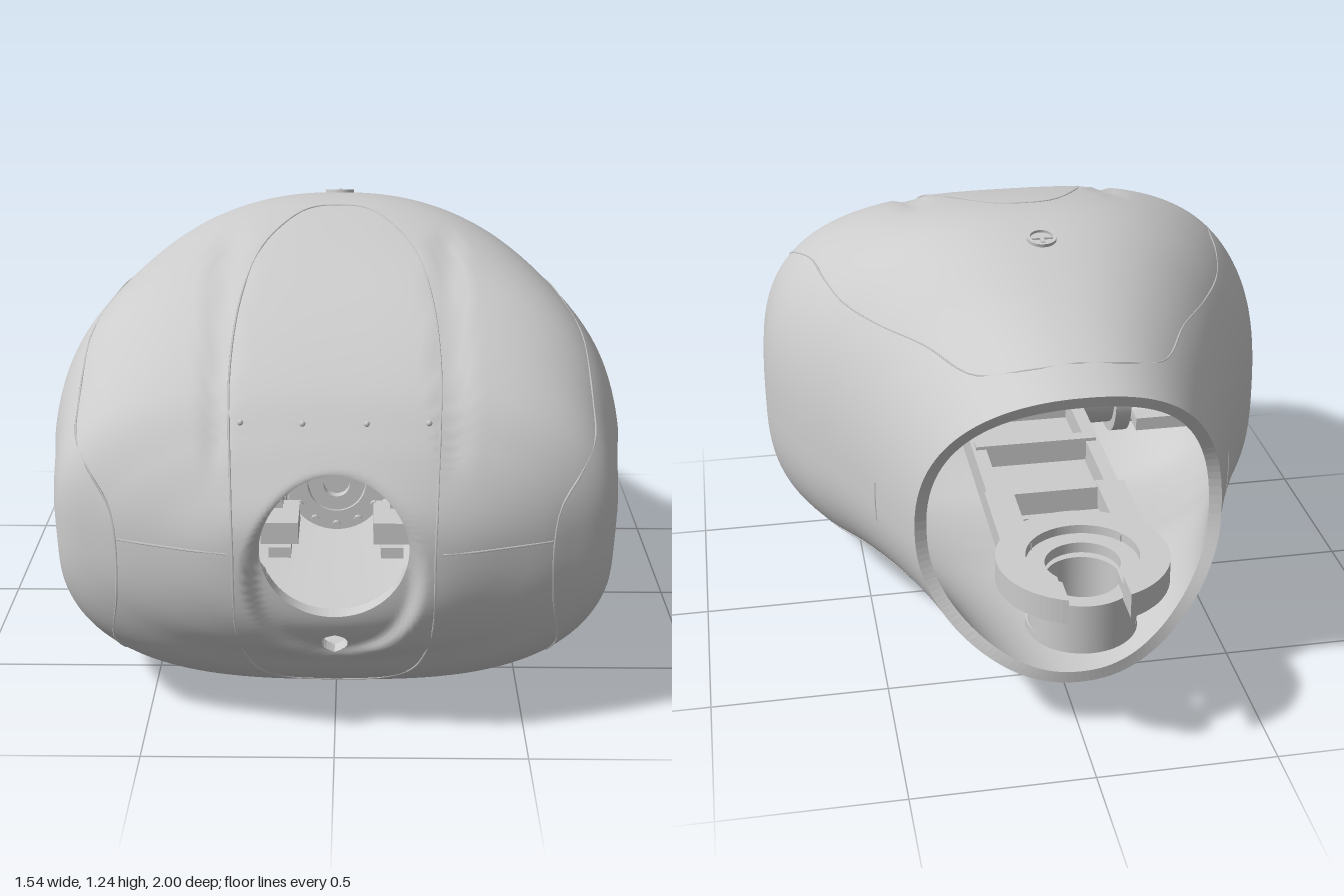
import * as THREE from 'three';

// Hull sections from nose to tail: z, half width, top, bottom, superellipse power
const ROWS = [
  [1, 0, 0.55, 0.55, 2], [0.998, 0.17, 0.63, 0.46, 2.1], [0.984, 0.3, 0.69, 0.36, 2.2],
  [0.94, 0.445, 0.765, 0.285, 2.3], [0.885, 0.585, 0.845, 0.23, 2.5], [0.8, 0.712, 0.945, 0.135, 2.7],
  [0.65, 0.748, 1.055, 0.045, 2.9], [0.475, 0.768, 1.14, 0.003, 3], [0.25, 0.765, 1.205, 0.035, 2.65],
  [0, 0.69, 1.244, 0.1, 2.5], [-0.2, 0.595, 1.22, 0.15, 2.4], [-0.4, 0.505, 1.155, 0.17, 2.3],
  [-0.6, 0.43, 1.1, 0.172, 2.2], [-0.8, 0.37, 1.035, 0.163, 2.2], [-0.92, 0.345, 0.99, 0.155, 2.2],
];
const LAST = ROWS.length - 1, MID = 0.55;

const smooth = THREE.MathUtils.smoothstep;
const spow = (v, p) => Math.sign(v) * Math.abs(v) ** p;

function section(u) {
  const i = Math.min(Math.floor(u), LAST - 1), t = u - i;
  const row = k => ROWS[THREE.MathUtils.clamp(k, 0, LAST)];
  return ROWS[0].map((_, c) => {
    const [a, b, d, e] = [row(i - 1)[c], row(i)[c], row(i + 1)[c], row(i + 2)[c]];
    const m0 = (d - a) / 2, m1 = (e - b) / 2;
    return b + m0 * t + (3 * (d - b) - 2 * m0 - m1) * t * t + (2 * (b - d) + m0 + m1) * t ** 3;
  });
}

// First section, going back from the nose, that passes a test
function findSection(test, hi) {
  let lo = 0;
  for (let k = 0; k < 40; k++) {
    const m = (lo + hi) / 2;
    if (test(section(m))) hi = m; else lo = m;
  }
  return section(hi);
}

function hullPoint(u, a) {
  let [z, w, top, bot, n] = section(u);
  const s = Math.sin(a);
  const x = w * spow(Math.cos(a), 2 / n);
  let y = MID + (s > 0 ? top - MID : MID - bot) * spow(s, 2 / n);
  // recessed oval around the front port
  if (z > 0.5) z -= 0.03 * (1 - smooth(Math.hypot(x / 0.22, (y - 0.5) / 0.26), 0.86, 1.04));
  // shallow channels beside the centre panel
  const ax = Math.abs(x);
  if (s > 0) y -= 0.014 * smooth(ax, 0.265, 0.285) * (1 - smooth(ax, 0.3, 0.34)) * smooth(z, 0.1, 0.35) * (1 - smooth(z, 0.88, 0.95));
  return [x, y, z];
}

// Positive where the shell is solid: concave tail cut, front port, drain hole, side ports
function solid([x, y, z]) {
  let f = z + 0.62 + (y < 0.62 ? 0.81 : 1.13) * (y - 0.62) ** 2;
  if (z > 0.5) f = Math.min(f, Math.hypot(x, y - 0.57) - 0.187, Math.hypot(x, y - 0.285) - 0.034);
  if (Math.abs(x) > 0.4) f = Math.min(f, 0.22 * (Math.hypot((z - 0.56) / 0.22, (y - 0.497) / 0.235) - 1));
  return f;
}

// Outer skin, inner skin and the rims of all openings
function shellGeometries(thick) {
  const NA = 144, NU = 112, pos = [], idx = [];
  for (let i = 0; i <= NU; i++) for (let j = 0; j < NA; j++) {
    pos.push(...hullPoint(0.3 + (LAST - 0.3) * i / NU, j / NA * Math.PI * 2));
    if (i === NU) continue;
    const a = i * NA + j, b = i * NA + (j + 1) % NA;
    idx.push(a, a + NA, b, b, a + NA, b + NA);
  }
  const grid = new THREE.BufferGeometry();
  grid.setAttribute('position', new THREE.Float32BufferAttribute(pos, 3));
  grid.setIndex(idx);
  grid.computeVertexNormals();
  const nor = grid.attributes.normal.array;
  const verts = [];
  for (let k = 0; k < pos.length; k += 3) {
    const p = pos.slice(k, k + 3);
    verts.push({ p, n: [nor[k], nor[k + 1], nor[k + 2]], f: solid(p) });
  }
  const mix = (a, b, t) => a.map((v, c) => v + (b[c] - v) * t);
  const inset = v => v.p.map((c, k) => c - v.n[k] * thick);
  const out = { p: [], n: [] }, inn = { p: [], n: [] }, rim = [];
  for (let k = 0; k < idx.length; k += 3) {
    const tri = [verts[idx[k]], verts[idx[k + 1]], verts[idx[k + 2]]], poly = [];
    let leave, enter;
    tri.forEach((a, e) => {
      const b = tri[(e + 1) % 3];
      if (a.f >= 0) poly.push(a);
      if ((a.f >= 0) !== (b.f >= 0)) {
        const t = a.f / (a.f - b.f), c = { p: mix(a.p, b.p, t), n: mix(a.n, b.n, t) };
        poly.push(c);
        if (a.f >= 0) leave = c; else enter = c;
      }
    });
    for (let q = 1; q + 1 < poly.length; q++) {
      for (const v of [poly[0], poly[q], poly[q + 1]]) { out.p.push(...v.p); out.n.push(...v.n); }
      for (const v of [poly[0], poly[q + 1], poly[q]]) { inn.p.push(...inset(v)); inn.n.push(...v.n.map(c => -c)); }
    }
    if (leave && enter) {
      const [a, b, c, d] = [leave.p, enter.p, inset(enter), inset(leave)];
      rim.push(...a, ...d, ...b, ...b, ...d, ...c);
    }
  }
  const make = (p, n) => {
    const g = new THREE.BufferGeometry();
    g.setAttribute('position', new THREE.Float32BufferAttribute(p, 3));
    if (n) g.setAttribute('normal', new THREE.Float32BufferAttribute(n, 3)); else g.computeVertexNormals();
    return g;
  };
  return { outerShell: make(out.p, out.n), innerShell: make(inn.p, inn.n), openingRims: make(rim) };
}

export function createModel() {
  const model = new THREE.Group();
  const grey = new THREE.MeshStandardMaterial({ color: 0xcccccc, side: THREE.DoubleSide });
  grey.name = 'light grey';
  const add = (name, geo, x = 0, y = 0, z = 0) => {
    const m = new THREE.Mesh(geo, grey);
    m.name = name;
    m.position.set(x, y, z);
    model.add(m);
    return m;
  };
  const box = (name, w, h, d, x, y, z) => add(name, new THREE.BoxGeometry(w, h, d), x, y, z);
  // Hollow ring around z, from its centre plane
  const ring = (r, hole, depth) => new THREE.LatheGeometry(
    [[hole, -1], [r, -1], [r, -1], [r, 1], [r, 1], [hole, 1], [hole, 1], [hole, -1]]
      .map(([a, b]) => new THREE.Vector2(a, b * depth / 2)), 48).rotateX(Math.PI / 2);

  for (const [name, geo] of Object.entries(shellGeometries(0.035))) add(name, geo);

  // Points on the hull found from two known coordinates
  const sectionAt = z => findSection(s => s[0] <= z, LAST);
  const fromSide = (z, y, side) => {
    const [, w, top, bot, n] = sectionAt(z);
    const q = Math.min(1, Math.abs(y - MID) / (y > MID ? top - MID : MID - bot));
    return new THREE.Vector3(side * w * (1 - q ** n) ** (1 / n), y, z);
  };
  const fromTop = (x, z) => {
    const [, w, top, , n] = sectionAt(z);
    return new THREE.Vector3(x, MID + (top - MID) * (1 - Math.min(1, Math.abs(x) / w) ** n) ** (1 / n), z);
  };
  const fromFront = (x, y) => new THREE.Vector3(x, y, findSection(([, w, top, bot, n]) =>
    (Math.abs(x) / w) ** n + (Math.abs(y - MID) / (y > MID ? top - MID : MID - bot)) ** n < 1, 7)[0]);

  // Panel seams laid on the hull
  const seam = (name, pts) => add(name,
    new THREE.TubeGeometry(new THREE.CatmullRomCurve3(pts), 120, 0.003, 4));
  for (const s of [-1, 1]) {
    seam('sidePanelSeam', [
      ...[[0, -0.69], [0.12, -0.68], [0.25, -0.6]].map(([x, z]) => fromTop(s * x, z)),
      ...[[-0.39, 1.02], [-0.22, 1.015], [-0.07, 1.02], [0.1, 1.035], [0.25, 1.035], [0.46, 0.98], [0.58, 0.925],
        [0.68, 0.86], [0.77, 0.795], [0.84, 0.73], [0.885, 0.65], [0.9, 0.55], [0.88, 0.4], [0.8, 0.25],
        [0.68, 0.155], [0.57, 0.12], [0.46, 0.125], [0.25, 0.18], [-0.02, 0.275], [-0.23, 0.3], [-0.44, 0.275],
        [-0.66, 0.19]].map(([z, y]) => fromSide(z, y, s))]);
    seam('centrePanelSeam', [
      ...[[0, 0.06], [0.05, 0.065], [0.1, 0.1], [0.2, 0.3], [0.25, 0.55]].map(([x, z]) => fromTop(s * x, z)),
      ...[[0.267, 0.97], [0.263, 0.85], [0.258, 0.75], [0.254, 0.65], [0.252, 0.58], [0.252, 0.52], [0.252, 0.45],
        [0.25, 0.35], [0.235, 0.25], [0.2, 0.17], [0.12, 0.11], [0, 0.09]].map(([x, y]) => fromFront(s * x, y))]);
    seam('frontJointSeam', [0.27, 0.35, 0.42, 0.49, 0.55].map(x => fromFront(s * x, 0.568)));
    seam('rearJointSeam', [0.5, 0.56, 0.62].map(y => fromSide(-0.4, y, s)));
    // Small fasteners
    for (const x of [0.08, 0.235])
      add('frontPin', new THREE.SphereGeometry(0.008, 8, 6), ...fromFront(s * x, 0.868).toArray());
    add('lowerPin', new THREE.SphereGeometry(0.012, 10, 8), ...fromSide(-0.43, 0.23, s).toArray());
  }

  // Socket on top of the hull
  add('topSocketRing', ring(0.042, 0.032, 0.02).rotateX(Math.PI / 2 - 0.2), 0, 1.22, -0.19);
  for (const turn of [0, Math.PI / 2])
    add('topSocketCross', new THREE.BoxGeometry(0.07, 0.008, 0.01), 0, 1.222, -0.19).rotation.y = turn;

  // Front motor with bolted flange
  add('frontMotorFlange', ring(0.135, 0.08, 0.04), 0, 0.57, 0.5);
  add('frontMotorHub', ring(0.075, 0.036, 0.05), 0, 0.57, 0.5);
  add('frontMotorShaft', new THREE.CylinderGeometry(0.037, 0.037, 0.2, 32).rotateX(Math.PI / 2), 0, 0.57, 0.4);
  add('frontMotorBody', ring(0.11, 0.036, 0.22), 0, 0.57, 0.38);
  for (let i = 0; i < 12; i++) {
    const a = i / 12 * Math.PI * 2;
    add('flangeBolt', new THREE.CylinderGeometry(0.011, 0.011, 0.014, 8).rotateX(Math.PI / 2),
      0.118 * Math.cos(a), 0.57 + 0.118 * Math.sin(a), 0.526);
  }

  // Side motors and their brackets
  for (const s of [-1, 1]) {
    add('sideMotorFlange', ring(0.16, 0.09, 0.05).rotateY(Math.PI / 2), s * 0.34, 0.51, 0.35);
    add('sideMotorBody', ring(0.13, 0.06, 0.2).rotateY(Math.PI / 2), s * 0.24, 0.51, 0.35);
    for (let i = 0; i < 10; i++) {
      const a = i / 10 * Math.PI * 2;
      add('sideFlangeBolt', new THREE.CylinderGeometry(0.012, 0.012, 0.014, 8).rotateZ(Math.PI / 2),
        s * 0.37, 0.51 + 0.138 * Math.sin(a), 0.35 + 0.138 * Math.cos(a));
    }
    box('motorBracket', 0.03, 0.28, 0.09, s * 0.16, 0.56, 0.53);
    box('bracketFoot', 0.1, 0.06, 0.16, s * 0.15, 0.49, 0.6);
    box('bracketTie', 0.06, 0.03, 0.2, s * 0.15, 0.435, 0.58);
    box('chassisRail', 0.04, 0.09, 0.95, s * 0.17, 0.5, -0.15);
    box('shellStrut', 0.34, 0.04, 0.06, s * 0.5, 0.53, 0.02);
  }
  box('chassisDeck', 0.34, 0.03, 0.75, 0, 0.46, -0.05);
  box('motorBackPlate', 0.4, 0.3, 0.03, 0, 0.58, 0.2);
  for (const z of [-0.4, -0.1]) box('chassisCrossbar', 0.36, 0.07, 0.04, 0, 0.52, z);

  // Rear joint: forked collar over a hollow cylinder
  const collar = (r, hole, y, h) => {
    const a0 = Math.asin(0.08 / r), a1 = Math.asin(Math.min(0.98, 0.08 / hole));
    const sh = new THREE.Shape();
    sh.absarc(0, 0, r, Math.PI / 2 + a0, Math.PI * 2.5 - a0);
    sh.absarc(0, 0, hole, Math.PI * 2.5 - a1, Math.PI / 2 + a1, true);
    add('rearForkCollar', new THREE.ExtrudeGeometry(sh, { depth: h, bevelEnabled: false, curveSegments: 40 })
      .rotateX(-Math.PI / 2), 0, y, -0.785);
  };
  collar(0.23, 0.15, 0.495, 0.07);
  collar(0.19, 0.1, 0.51, 0.03);
  add('rearJointCylinder', ring(0.145, 0.1, 0.14).rotateX(Math.PI / 2), 0, 0.425, -0.785);
  add('rearJointLip', ring(0.15, 0.1, 0.025).rotateX(Math.PI / 2), 0, 0.36, -0.775);
  for (const s of [-1, 1]) box('rearArm', 0.08, 0.065, 0.3, s * 0.16, 0.527, -0.55);
  return model;
}
